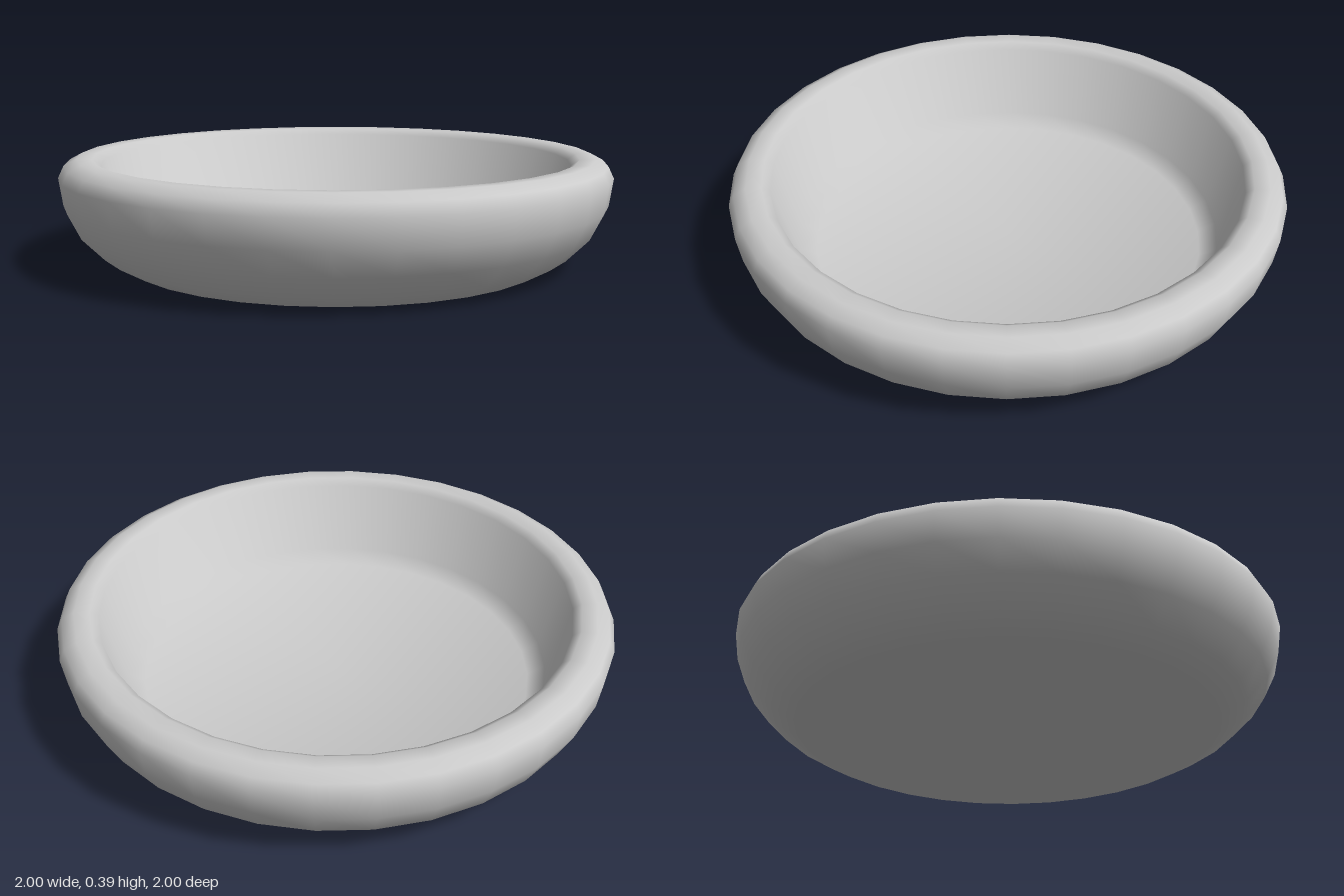
import * as THREE from 'three';

export function createModel() {
  const group = new THREE.Group();
  group.name = 'dish';

  // Closed profile (radius, height): underside, outer wall, rolled rim, inner wall, floor
  const profile = [
    [0, 0], [0.77, 0], [0.86, 0.05], [0.94, 0.13], [0.985, 0.22], [1, 0.32],
    [0.98, 0.362], [0.935, 0.386], [0.88, 0.384], [0.85, 0.362],
    [0.775, 0.1], [0.715, 0.06], [0, 0.06],
  ].map(([r, y]) => new THREE.Vector2(r, y));
  const sides = 32, turn = -0.054;
  const geometry = new THREE.LatheGeometry(profile, sides, turn);

  // Even-weighted normals, so the flat floor and underside blend softly into the walls
  const last = profile.length - 1;
  const edgeNormal = (j) => {
    const d = profile[j + 1].clone().sub(profile[j]).normalize();
    return new THREE.Vector2(d.y, -d.x);
  };
  profile.forEach((point, j) => {
    const n = edgeNormal(Math.max(j - 1, 0)).add(edgeNormal(Math.min(j, last - 1))).normalize();
    for (let i = 0; i <= sides; i++) {
      const a = turn + (i / sides) * Math.PI * 2;
      geometry.attributes.normal.setXYZ(i * (last + 1) + j, n.x * Math.sin(a), n.y, n.x * Math.cos(a));
    }
  });

  const bowl = new THREE.Mesh(geometry, new THREE.MeshStandardMaterial({ color: 0xcccccc }));
  bowl.name = 'bowl';
  group.add(bowl);
  return group;
}
